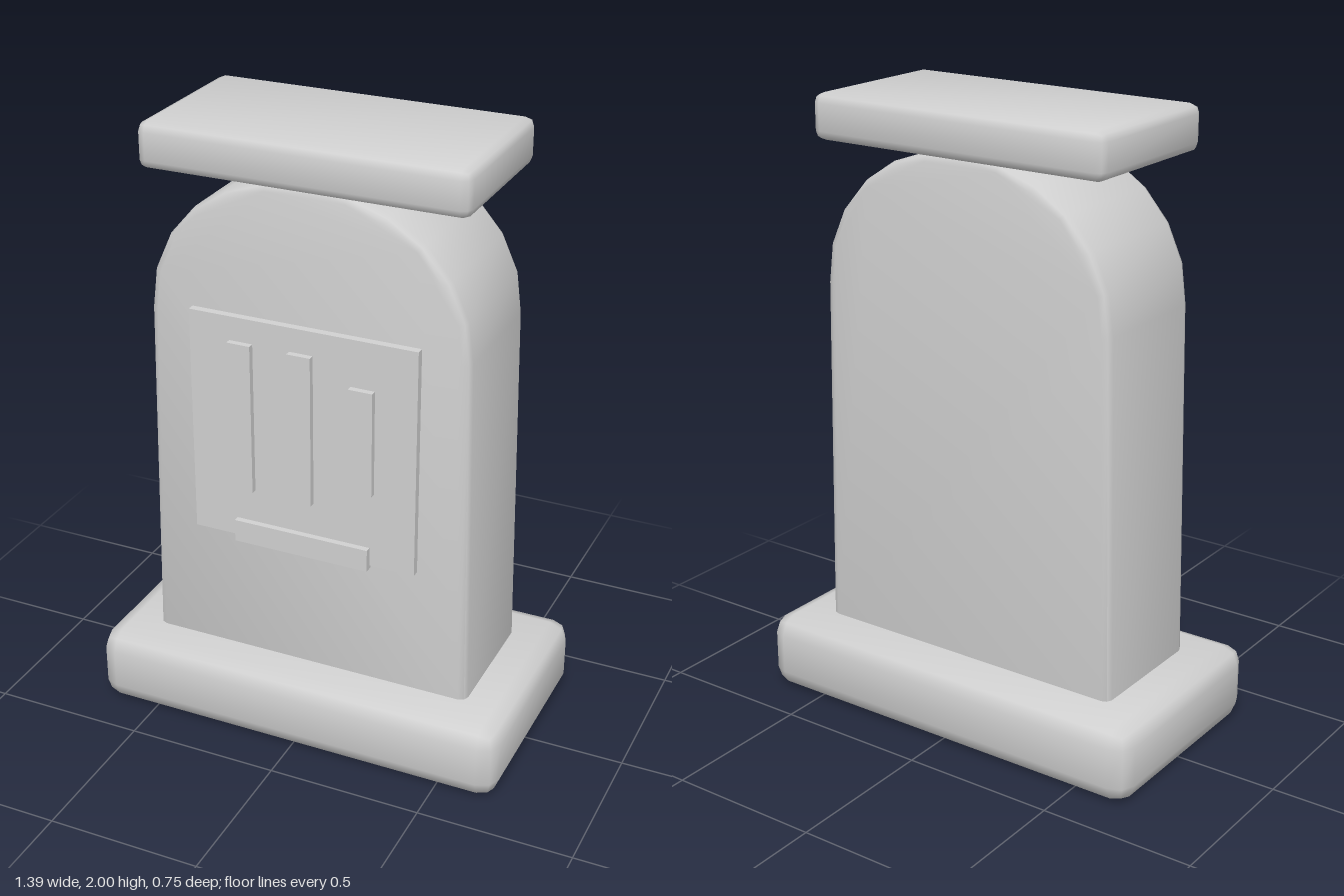
import * as THREE from 'three';
import { toCreasedNormals } from 'three/addons/utils/BufferGeometryUtils.js';

const stone = new THREE.MeshStandardMaterial({ color: 0xd0d0d0 });
stone.name = 'grey stone';

export function createModel() {
  const group = new THREE.Group();
  group.name = 'gravestone';

  const add = (name, geometry, x = 0, y = 0, z = 0) => {
    const mesh = new THREE.Mesh(geometry, stone);
    mesh.name = name;
    mesh.position.set(x, y, z);
    group.add(mesh);
  };

  // Box with two-step rounded edges, its normals averaged over faces and edges
  const softBox = (w, h, d, r) => {
    const g = new THREE.BoxGeometry(2, 2, 2, 3, 3, 3);
    const inner = new THREE.Vector3(w / 2 - r, h / 2 - r, d / 2 - r);
    const pos = g.attributes.position;
    const p = new THREE.Vector3();
    for (let i = 0; i < pos.count; i++) {
      p.fromBufferAttribute(pos, i);
      const corner = new THREE.Vector3(Math.sign(p.x), Math.sign(p.y), Math.sign(p.z)).multiply(inner);
      const out = new THREE.Vector3(...p.toArray().map(v => (Math.abs(v) > 0.9 ? Math.sign(v) : 0)));
      corner.addScaledVector(out.normalize(), r);
      pos.setXYZ(i, corner.x, corner.y, corner.z);
    }
    return toCreasedNormals(g, 1);
  };

  // Plate spanning x0..x1, y0..y1, z0..z1
  const plate = (name, x0, x1, y0, y1, z0, z1) =>
    add(name, new THREE.BoxGeometry(x1 - x0, y1 - y0, z1 - z0),
      (x0 + x1) / 2, (y0 + y1) / 2, (z0 + z1) / 2);

  // Plinth and capstone
  add('base', softBox(1.395, 0.25, 0.745, 0.06), 0, 0.125, 0);
  add('capstone', softBox(1.04, 0.145, 0.545, 0.03), 0, 1.9275, 0);

  // Tapered slab with a faceted arch, mirrored from its right half
  const bevel = 0.025;
  const half = [[0.545, 0.2], [0.521, 1.4], [0.505, 1.527], [0.452, 1.644],
    [0.368, 1.741], [0.26, 1.812], [0.134, 1.855]];
  const outline = [...half, [0, 1.868], ...half.map(([x, y]) => [-x, y]).reverse()];
  const slab = new THREE.ExtrudeGeometry(
    new THREE.Shape(outline.map(([x, y]) => new THREE.Vector2(x, y))),
    { depth: 0.45 - 2 * bevel, bevelSegments: 2, bevelSize: bevel, bevelThickness: bevel, bevelOffset: -bevel });
  slab.translate(0, 0, bevel - 0.225);
  add('slab', toCreasedNormals(slab, 1));

  // Raised panel with its marks
  plate('panel', -0.375, 0.372, 0.68, 1.43, 0.21, 0.25);
  plate('leftBar', -0.24, -0.163, 0.853, 1.352, 0.24, 0.27);
  plate('middleBar', -0.041, 0.036, 0.853, 1.352, 0.24, 0.27);
  plate('rightBar', 0.158, 0.237, 0.932, 1.277, 0.24, 0.27);
  plate('lowerBar', -0.228, 0.224, 0.668, 0.742, 0.24, 0.27);

  return group;
}
